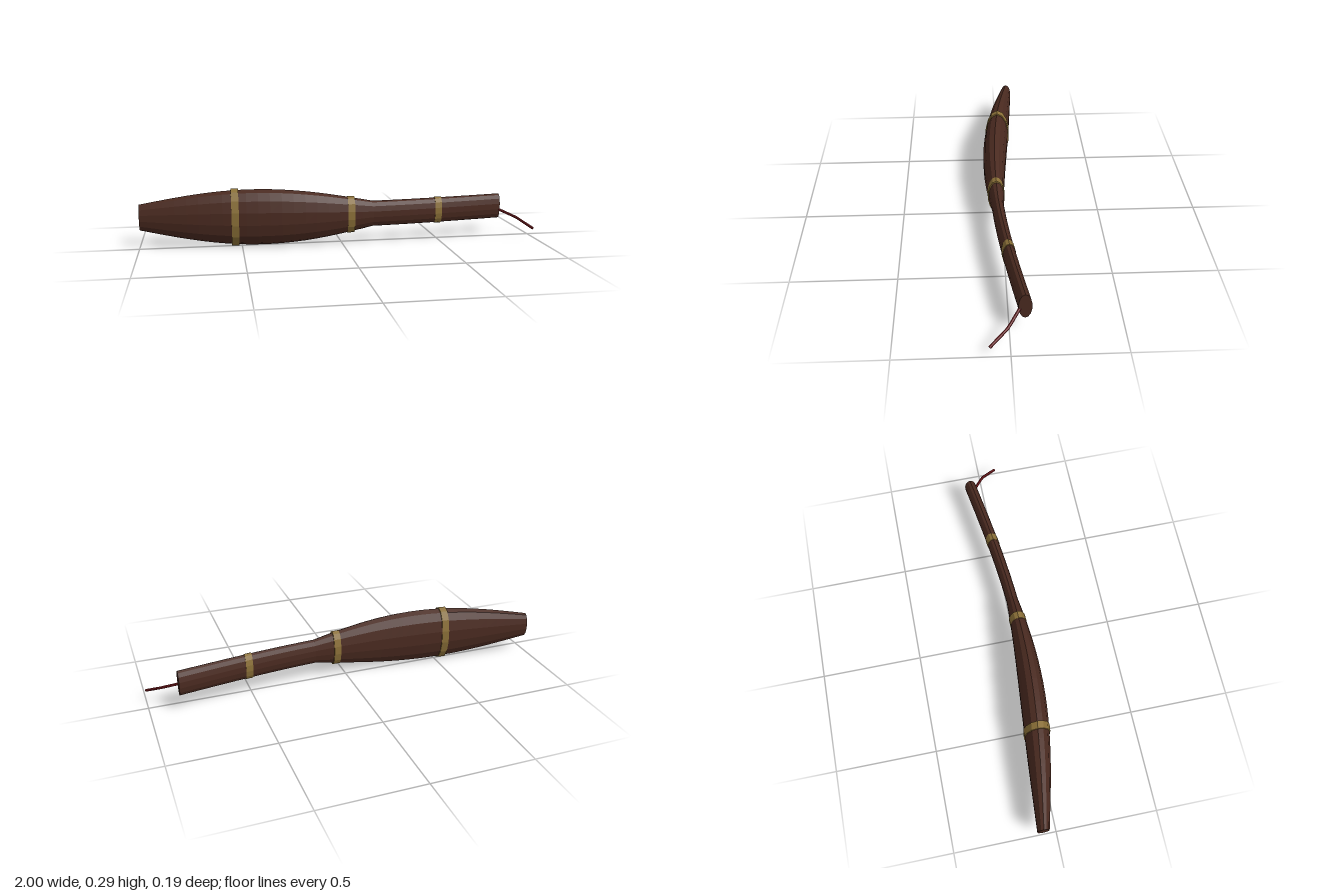
import * as THREE from 'three';

const SIDES = 14, CENTER_Y = 0.148, X0 = -1, X1 = 0.857, NECK = 0.16, FLATNESS = 0.455;

// Half height: a swollen front part, then a straight grip sleeve
const halfHeight = (x) => 0.065 + (x < NECK ? 0.075 * Math.sin(Math.PI * (x - X0) / (NECK - X0)) : 0);
// The centre line bows towards the front
const bow = (x) => -0.067 + 0.096 * Math.sin(Math.PI * (x - X0) / (X1 - X0));

// Lofts oval cross-sections given as [x, half height]
function loft(stations) {
  const pos = [], index = [];
  stations.forEach(([x, r], i) => {
    for (let j = 0; j < SIDES; j++) {
      const a = (j / SIDES) * Math.PI * 2;
      pos.push(x, CENTER_Y + r * Math.cos(a), bow(x) + r * FLATNESS * Math.sin(a));
      if (i === stations.length - 1) continue;
      const p = i * SIDES + j, q = i * SIDES + (j + 1) % SIDES;
      index.push(p, q, p + SIDES, q, q + SIDES, p + SIDES);
    }
  });
  const g = new THREE.BufferGeometry();
  g.setAttribute('position', new THREE.Float32BufferAttribute(pos, 3));
  g.setIndex(index);
  const flat = g.toNonIndexed();
  flat.computeVertexNormals();
  return flat;
}

export function createModel() {
  const group = new THREE.Group();
  const material = (name, color) => {
    const m = new THREE.MeshStandardMaterial({ color, flatShading: true });
    m.name = name;
    return m;
  };
  const wood = material('dark brown', 0x4a2a20);
  const brass = material('dull brass', 0x8b7038);
  const red = material('dark red', 0x7a1a1e);
  const add = (name, geometry, mat) => {
    const mesh = new THREE.Mesh(geometry, mat);
    mesh.name = name;
    group.add(mesh);
  };

  // Curved body with closed ends
  const stations = [[X0, 0]];
  for (let i = 0; i <= 20; i++) {
    const x = X0 + (NECK - X0) * i / 20;
    stations.push([x, halfHeight(x)]);
  }
  for (let i = 1; i <= 10; i++) {
    const x = NECK + (X1 - NECK) * i / 10;
    stations.push([x, halfHeight(x)]);
  }
  stations.push([X1, 0]);
  add('body', loft(stations), wood);

  // Three bands around the body
  [-0.533, 0.045, 0.508].forEach((x, i) => {
    const r = halfHeight(x) * 1.06, a = x - 0.018, b = x + 0.018;
    add('band' + (i + 1), loft([[a, r * 0.85], [a, r], [b, r], [b, r * 0.85]]), brass);
  });

  // Cord hanging from the grip end
  const cord = new THREE.CurvePath();
  const points = [[0.85, 0.133, -0.045], [0.93, 0.098, 0.008], [0.994, 0.053, 0.088]]
    .map((p) => new THREE.Vector3(...p));
  cord.add(new THREE.LineCurve3(points[0], points[1]));
  cord.add(new THREE.LineCurve3(points[1], points[2]));
  add('cord', new THREE.TubeGeometry(cord, 8, 0.007, 6), red);
  // Closed tip of the cord
  const tip = new THREE.CircleGeometry(0.007, 6);
  const dir = points[2].clone().sub(points[1]).normalize();
  tip.applyQuaternion(new THREE.Quaternion().setFromUnitVectors(new THREE.Vector3(0, 0, 1), dir));
  tip.translate(...points[2].toArray());
  add('cordTip', tip, red);

  return group;
}
